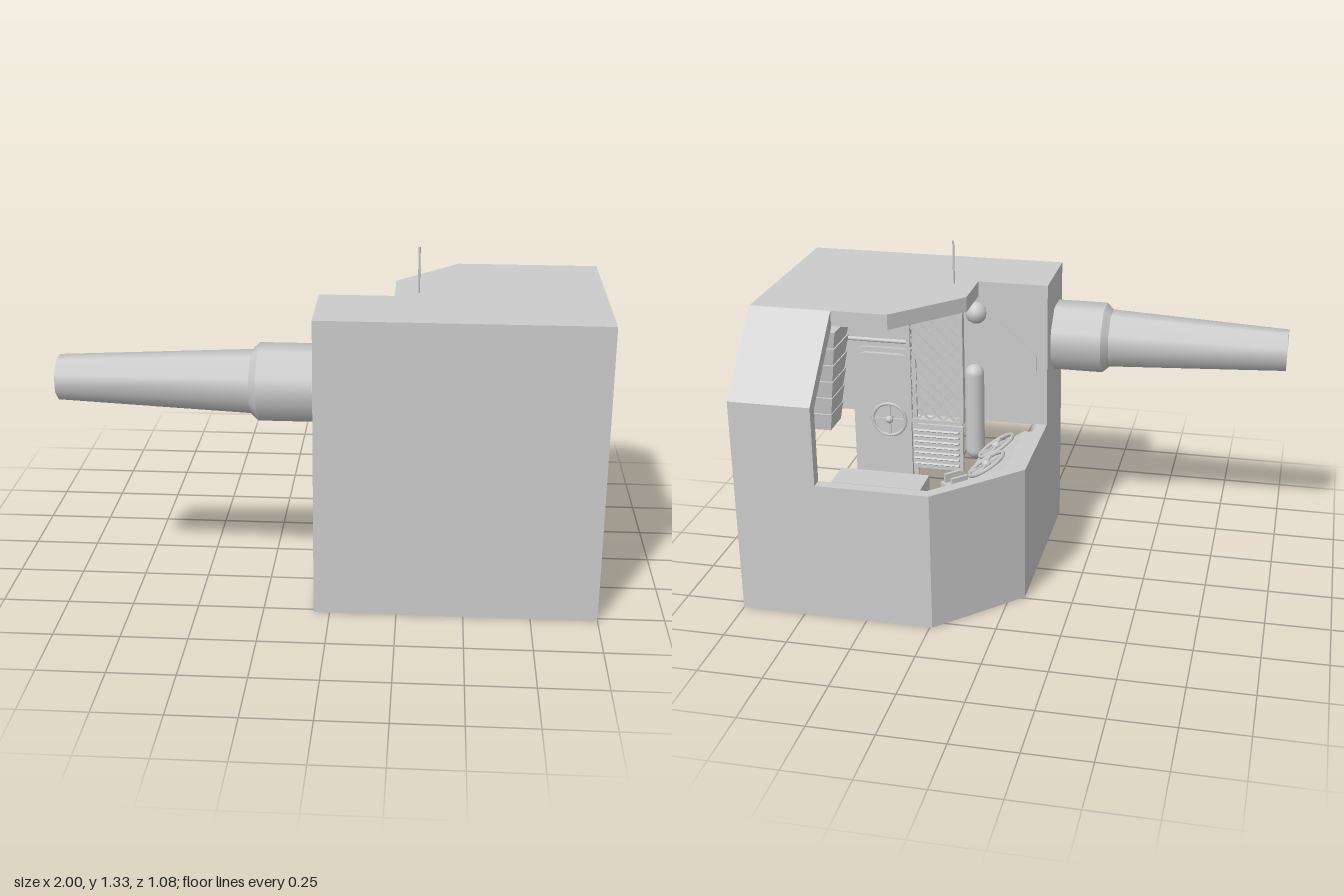
import * as THREE from 'three';

const grey = new THREE.MeshStandardMaterial({ color: 0xcccccc });
const flat = new THREE.MeshStandardMaterial({ color: 0xcccccc, flatShading: true, side: THREE.DoubleSide });
const open = new THREE.MeshStandardMaterial({ color: 0xcccccc, side: THREE.DoubleSide });

const WALL_Z = 0.2, FLOOR = 0.2, RIM = 0.556, TOP = 1.15;

function part(parent, name, geometry, x = 0, y = 0, z = 0, material = grey) {
  const mesh = new THREE.Mesh(geometry, material);
  mesh.name = name;
  mesh.position.set(x, y, z);
  parent.add(mesh);
  return mesh;
}
const shapeOf = (pts) => new THREE.Shape(pts.map(([a, b]) => new THREE.Vector2(a, b)));
const extrude = (shape, depth) =>
  new THREE.ExtrudeGeometry(shape, { depth, bevelEnabled: false, curveSegments: 6 });

// Plan outline given as [x, z], raised along y
function planExtrude(pts, height, hole) {
  const flip = (list) => list.map(([x, z]) => [x, -z]);
  const shape = shapeOf(flip(pts));
  if (hole) shape.holes.push(shapeOf(flip(hole)));
  return extrude(shape, height).rotateX(-Math.PI / 2);
}
// Side profile given as [z, y], spanning x0..x1
const sideExtrude = (pts, x0, x1) =>
  extrude(shapeOf(pts), x1 - x0).rotateY(-Math.PI / 2).translate(x1, 0, 0);

function roundedRect(w, h, r) {
  const s = new THREE.Shape(), x = w / 2, y = h / 2;
  s.absarc(x - r, y - r, r, 0, Math.PI / 2);
  s.absarc(-x + r, y - r, r, Math.PI / 2, Math.PI);
  s.absarc(-x + r, -y + r, r, Math.PI, Math.PI * 1.5);
  s.absarc(x - r, -y + r, r, Math.PI * 1.5, Math.PI * 2);
  return s;
}

// Outer outline of the chamfered corner, moved inward by d
const corner = (d) => [
  [-0.06 + d, WALL_Z], [-0.06 + d, -0.24 + 0.414 * d],
  [0.24 + 0.414 * d, -0.54 + d], [0.68, -0.54 + d],
];

// Folded surface joining several [x, y, z] lines of equal length
function foldedSurface(lines) {
  const pos = [];
  for (let i = 0; i < lines.length - 1; i++) {
    for (let j = 0; j < lines[i].length - 1; j++) {
      const a = lines[i][j], b = lines[i][j + 1], c = lines[i + 1][j + 1], d = lines[i + 1][j];
      pos.push(...a, ...c, ...b, ...a, ...d, ...c);
    }
  }
  const g = new THREE.BufferGeometry();
  g.setAttribute('position', new THREE.Float32BufferAttribute(pos, 3));
  g.computeVertexNormals();
  return g;
}

// Four-spoke wheel facing its own +z
function handwheel(name, r) {
  const wheel = new THREE.Group();
  wheel.name = name;
  part(wheel, 'wheelRim', new THREE.TorusGeometry(r, r * 0.1, 6, 20));
  for (let i = 0; i < 2; i++) {
    part(wheel, 'spoke', new THREE.BoxGeometry(r * 2, r * 0.16, r * 0.1)).rotation.z = i * Math.PI / 2;
  }
  part(wheel, 'hub', new THREE.SphereGeometry(r * 0.24, 10, 8));
  part(wheel, 'shaft', new THREE.CylinderGeometry(r * 0.12, r * 0.12, 0.04, 8), 0, 0, -0.02)
    .rotation.x = Math.PI / 2;
  return wheel;
}

function buildShell(model) {
  const shell = new THREE.Group();
  shell.name = 'shell';
  model.add(shell);
  const outline = [[-0.06, 0.52], [-0.06, -0.24], [0.24, -0.54], [1, -0.54], [1, 0.52]];
  const i = corner(0.045);
  const cavity = [i[0], i[1], i[2], [0.85, -0.495], [0.85, WALL_Z]];
  part(shell, 'lowerWalls', planExtrude(outline, RIM, cavity));
  part(shell, 'floor', planExtrude(cavity, FLOOR));
  // Full-height front block and far side wall
  part(shell, 'frontBlock', new THREE.BoxGeometry(1.06, TOP - RIM, 0.32), 0.47, (TOP + RIM) / 2, 0.36);
  part(shell, 'sideWall', sideExtrude(
    [[WALL_Z, RIM], [WALL_Z, TOP], [-0.26, TOP], [-0.54, 0.87], [-0.54, RIM]], 0.85, 1));
  // Sloped back cover and the roof slab over the cabin
  part(shell, 'slopedCover', sideExtrude(
    [[-0.26, TOP], [-0.54, 0.87], [-0.54, RIM], [-0.495, RIM], [-0.495, 0.85], [-0.26, 1.085]], 0.68, 0.85));
  part(shell, 'roof', planExtrude(
    [[0.22, WALL_Z], [0.22, 0], [0.46, -0.26], [0.85, -0.26], [0.85, WALL_Z]], 0.06), 0, 1.09, 0);
}

function buildConsole(model) {
  const desk = new THREE.Group();
  desk.name = 'console';
  model.add(desk);
  // Ledge, sloped desk and vertical front following the chamfered corner
  const at = (pts, y) => pts.map(([x, z]) => [x, y, z]);
  const upper = [[0.035, WALL_Z], [0.035, -0.2], [0.275, -0.44], [0.68, -0.44]];
  const lower = [[0.22, WALL_Z], [0.22, -0.19], [0.29, -0.265], [0.68, -0.265]];
  part(desk, 'deskPanels', foldedSurface(
    [at(corner(0.045), 0.52), at(upper, 0.52), at(lower, 0.4), at(lower, FLOOR)]), 0, 0, 0, flat);
  part(desk, 'deskEnd', sideExtrude(
    [[-0.495, FLOOR], [-0.495, 0.52], [-0.44, 0.52], [-0.265, 0.4], [-0.265, FLOOR]], 0.675, 0.68));
  for (const z of [-0.08, 0.1]) {
    const w = handwheel('deskWheel', 0.08);
    w.position.set(0.13, 0.49, z);
    w.rotation.set(-Math.PI / 2, 0.58, 0);
    desk.add(w);
  }
  part(desk, 'instrumentBox', new THREE.BoxGeometry(0.35, 0.1, 0.13), 0.475, 0.48, -0.375);
  for (const x of [0.39, 0.48, 0.57]) {
    part(desk, 'knob', new THREE.SphereGeometry(0.022, 12, 8), x, 0.46, -0.295);
    part(desk, 'knobStem', new THREE.CylinderGeometry(0.008, 0.008, 0.06, 8), x, 0.43, -0.295);
  }
  const lever = part(desk, 'leverBox', new THREE.BoxGeometry(0.08, 0.06, 0.09), 0.2, 0.47, -0.29);
  lever.rotation.y = -Math.PI / 4;
  for (const s of [-1, 1]) {
    part(lever, 'lever', new THREE.BoxGeometry(0.012, 0.05, 0.07), 0.025 * s, 0.04, 0);
  }
}

function buildCabin(model) {
  const cabin = new THREE.Group();
  cabin.name = 'cabinFittings';
  model.add(cabin);
  // Door with frame and wheel on the front bulkhead
  part(cabin, 'doorFrame', extrude(roundedRect(0.27, 0.63, 0.06), 0.012), 0.62, 0.53, 0.188);
  part(cabin, 'door', extrude(roundedRect(0.23, 0.59, 0.045), 0.025), 0.62, 0.53, 0.17);
  const wheel = handwheel('doorWheel', 0.07);
  wheel.position.set(0.59, 0.55, 0.14);
  wheel.rotation.y = Math.PI;
  cabin.add(wheel);

  // Lattice grille with its frame
  const w = 0.22, h = 0.48, cx = 0.4, cy = 0.78;
  for (const s of [-1, 1]) {
    part(cabin, 'grilleSide', new THREE.BoxGeometry(0.016, h, 0.03), cx + s * w / 2, cy, 0.185);
    part(cabin, 'grilleEnd', new THREE.BoxGeometry(w, 0.016, 0.03), cx, cy + s * h / 2, 0.185);
    for (let c = -0.32; c <= 0.33; c += 0.055) {
      // Bar v = c + s * u, clipped to the frame
      const lo = Math.max(-w / 2, s > 0 ? -h / 2 - c : c - h / 2);
      const hi = Math.min(w / 2, s > 0 ? h / 2 - c : c + h / 2);
      if (hi - lo < 0.01) continue;
      const u = (lo + hi) / 2;
      part(cabin, 'latticeBar', new THREE.BoxGeometry((hi - lo) * Math.SQRT2, 0.008, 0.008),
        cx + u, cy + c + s * u, 0.18).rotation.z = s * Math.PI / 4;
    }
  }
  // Louvred vent
  part(cabin, 'ventBox', new THREE.BoxGeometry(0.22, 0.2, 0.015), cx, 0.42, 0.192);
  for (let i = 0; i < 7; i++) {
    part(cabin, 'louvre', new THREE.BoxGeometry(0.19, 0.008, 0.025), cx, 0.345 + i * 0.025, 0.178)
      .rotation.x = 0.5;
  }
  // Bulkhead panel, bottle, lamp and overhead pipe
  part(cabin, 'bulkheadPanel', extrude(shapeOf(
    [[-0.015, RIM], [0.22, RIM], [0.22, 1.04], [0.18, 1.035], [-0.015, 0.85]]), 0.006), 0, 0, 0.194);
  part(cabin, 'bottle', new THREE.CapsuleGeometry(0.04, 0.33, 6, 12), 0.23, 0.61, 0.155);
  part(cabin, 'lamp', new THREE.SphereGeometry(0.045, 12, 8), 0.23, 1.02, 0.2);
  part(cabin, 'pipe', new THREE.CylinderGeometry(0.009, 0.009, 0.34, 8), 0.68, 0.88, 0.18)
    .rotation.z = Math.PI / 2;

  // Ribbed storage stack hanging by the side wall, narrower toward the bottom
  for (let i = 0; i < 6; i++) {
    const k = 0.78 + 0.044 * i;
    const tier = new THREE.CylinderGeometry(0.707, 0.6, 0.07, 4, 1).rotateY(Math.PI / 4);
    tier.scale(0.17 * k, 1, 0.19 * k);
    part(cabin, 'storageTier', tier, 0.85 - 0.085 * k, 0.665 + i * 0.07, -0.13, flat);
  }
}

export function createModel() {
  const model = new THREE.Group();
  model.name = 'gunCabin';
  buildShell(model);
  buildConsole(model);
  buildCabin(model);

  // Eight-sided tapering barrel with an open muzzle, pointing to -x
  const k = 1 / Math.cos(Math.PI / 8);
  const lathe = (pts) => new THREE.LatheGeometry(
    pts.map(([r, y]) => new THREE.Vector2(r * k, y)), 8, Math.PI / 8);
  const barrel = new THREE.Group();
  barrel.name = 'barrel';
  barrel.position.set(0, 0.878, 0.403);
  barrel.rotation.z = Math.PI / 2;
  model.add(barrel);
  part(barrel, 'sleeve', lathe([[0.132, 0.06], [0.132, 0.262]]), 0, 0, 0, open);
  part(barrel, 'sleeveTaper', lathe([[0.132, 0.262], [0.108, 0.29]]), 0, 0, 0, open);
  part(barrel, 'tube', lathe([[0.108, 0.29], [0.077, 1]]), 0, 0, 0, open);

  part(model, 'antenna', new THREE.CylinderGeometry(0.004, 0.004, 0.175, 8), 0.308, 1.2375, 0.155);
  return model;
}
